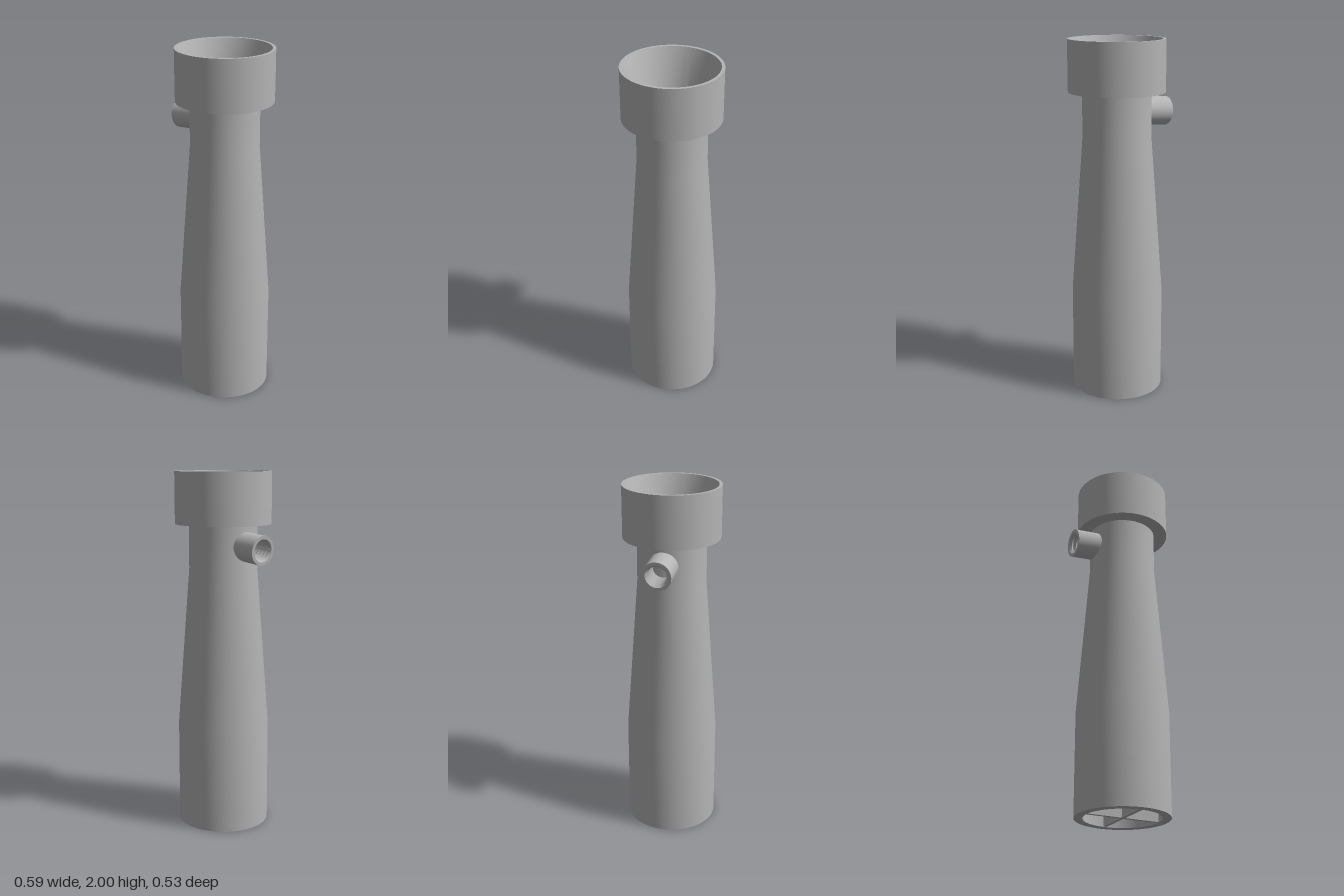
import * as THREE from 'three';
import { toCreasedNormals } from 'three/addons/utils/BufferGeometryUtils.js';

const AXIS_X = 0.027; // the body sits off centre, balancing the side port

// Hollow turned part: closed [radius, y] profile, outside upward then inside downward
function turned(name, profile, material, segments = 96) {
  const points = [...profile, profile[0]].map(([r, y]) => new THREE.Vector2(r, y));
  const geometry = toCreasedNormals(new THREE.LatheGeometry(points, segments), Math.PI / 6);
  const mesh = new THREE.Mesh(geometry, material);
  mesh.name = name;
  return mesh;
}

export function createModel() {
  const grey = new THREE.MeshStandardMaterial({ color: 0xb4b4b4 });
  grey.name = 'grey plastic';
  const model = new THREE.Group();
  model.name = 'nozzle';

  // Tapered tube with funnel-mouthed cup on top
  const body = turned('body', [
    [0.257, 0], [0.257, 0.58], [0.19, 1.47], [0.19, 1.715],
    [0.267, 1.715], [0.267, 2], [0.25, 2],
    [0.145, 1.715], [0.145, 1.47], [0.21, 0.58], [0.21, 0],
  ], grey);
  body.position.x = AXIS_X;
  model.add(body);

  // Crossed vanes in the lower bore
  const vanes = new THREE.Group();
  vanes.name = 'vanes';
  vanes.position.set(AXIS_X, 0.291, 0);
  for (const angle of [0, Math.PI / 2]) {
    const vane = new THREE.Mesh(new THREE.BoxGeometry(0.43, 0.578, 0.02), grey);
    vane.name = 'vane';
    vane.rotation.y = angle;
    vanes.add(vane);
  }
  model.add(vanes);

  // Side port with internal thread, its mouth dipping slightly
  const length = 0.155, ridges = 6, pitch = length / ridges;
  const thread = [];
  for (let i = 0; i < ridges; i++) {
    const y = -i * pitch;
    thread.push([0.062, y], [0.052, y - pitch / 2]);
  }
  const port = turned('threadedPort',
    [[0.08, -length], [0.08, 0], ...thread, [0.062, -length]], grey, 48);
  port.position.set(-0.29, 1.588, 0);
  port.rotation.z = Math.PI / 2 + 0.09;
  model.add(port);

  return model;
}
